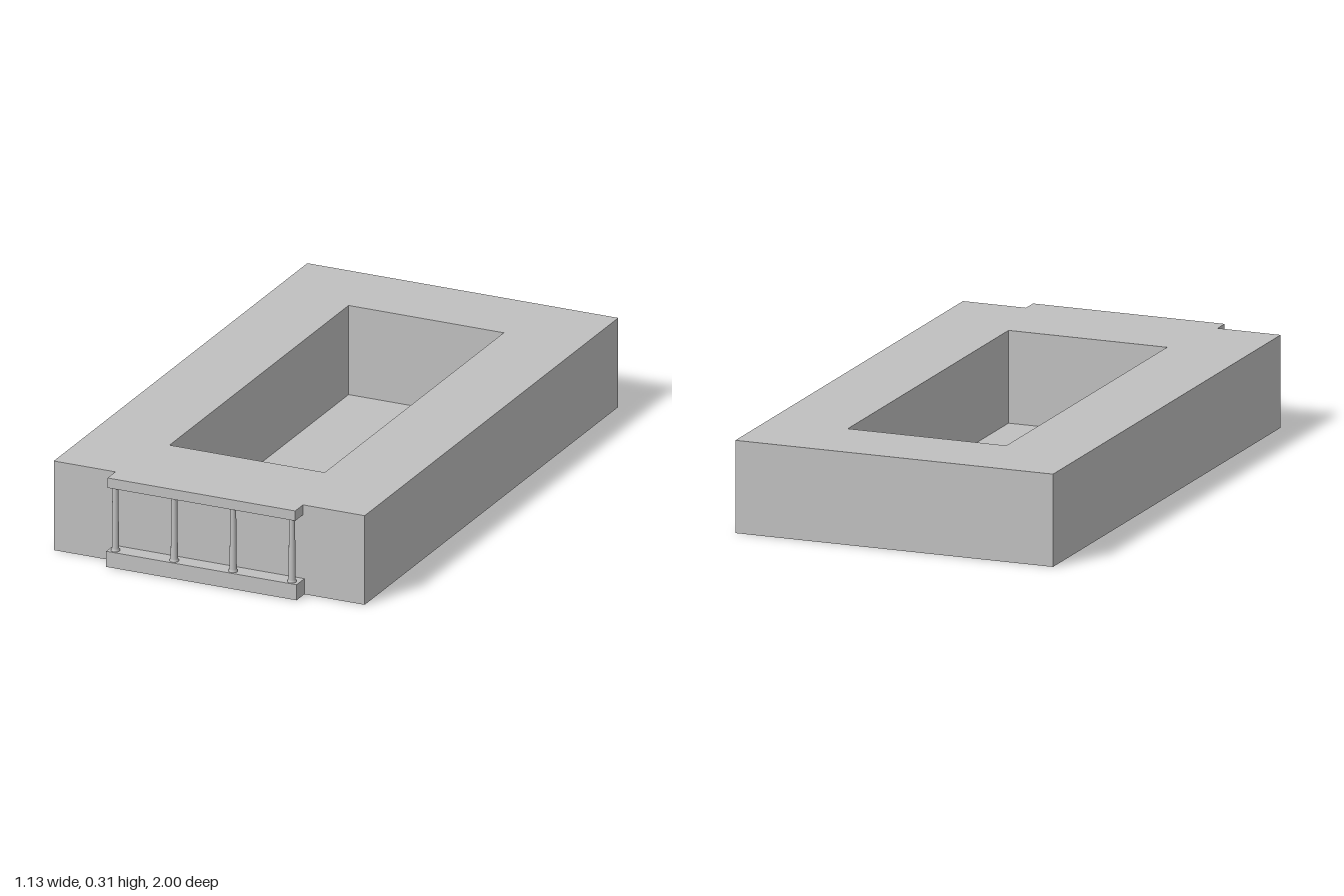
import * as THREE from 'three';

export function createModel() {
  const group = new THREE.Group();
  const stone = new THREE.MeshStandardMaterial({ color: 0xc0c0c0, side: THREE.DoubleSide });
  stone.name = 'light grey stone';

  function add(name, geometry, x = 0, y = 0, z = 0) {
    const mesh = new THREE.Mesh(geometry, stone);
    mesh.name = name;
    mesh.position.set(x, y, z);
    group.add(mesh);
    return mesh;
  }

  // Thin upright wall from plan point a to b, facing the right of the walk a -> b
  function wall(name, [ax, az], [bx, bz], y0, y1) {
    const dx = bx - ax, dz = bz - az;
    const mesh = add(name, new THREE.PlaneGeometry(Math.hypot(dx, dz), y1 - y0),
      (ax + bx) / 2, (y0 + y1) / 2, (az + bz) / 2);
    mesh.rotation.y = -Math.atan2(dz, dx);
  }

  // Level rectangle facing up
  function deck(name, w, d, x, y, z) {
    add(name, new THREE.PlaneGeometry(w, d).rotateX(-Math.PI / 2), x, y, z);
  }

  const W = 0.565, H = 0.315, back = -1, front = 0.94;
  const cw = 0.282, cBack = -0.72, cFront = 0.65;

  // Outer walls, open underneath
  const outer = [[-W, front], [W, front], [W, back], [-W, back]];
  const names = ['frontWall', 'leftWall', 'backWall', 'rightWall'];
  outer.forEach((p, i) => wall(names[i], p, outer[(i + 1) % 4], 0, H));

  // Cross walls run the full width, side walls close the courtyard
  wall('courtyardBackWall', [-W, cBack], [W, cBack], 0, H);
  wall('courtyardFrontWall', [W, cFront], [-W, cFront], 0, H);
  wall('courtyardLeftWall', [cw, cBack], [cw, cFront], 0, H);
  wall('courtyardRightWall', [-cw, cFront], [-cw, cBack], 0, H);
  deck('courtyardFloor', cw * 2, cFront - cBack, 0, 0, (cBack + cFront) / 2);

  // Flat roof with the courtyard opening
  const roof = new THREE.Shape(outer.map(([x, z]) => new THREE.Vector2(x, -z)));
  roof.holes.push(new THREE.Path([[-cw, cFront], [-cw, cBack], [cw, cBack], [cw, cFront]]
    .map(([x, z]) => new THREE.Vector2(x, -z))));
  add('roof', new THREE.ShapeGeometry(roof).rotateX(-Math.PI / 2), 0, H, 0);

  // Porch step, open underneath
  const pw = 0.346, stepH = 0.055;
  wall('stepFront', [-pw, 1], [pw, 1], 0, stepH);
  wall('stepLeftEnd', [pw, 1], [pw, front], 0, stepH);
  wall('stepRightEnd', [-pw, front], [-pw, 1], 0, stepH);
  deck('stepTop', pw * 2, 1 - front, 0, stepH, (1 + front) / 2);

  // Porch canopy
  const canopyY = 0.28;
  add('porchCanopy', new THREE.BoxGeometry(0.682, H - canopyY, 1 - front),
    0, (H + canopyY) / 2, (1 + front) / 2);

  // Slender tapering columns with flared bases
  const profile = [[0.015, stepH], [0.015, 0.06], [0.012, 0.064], [0.0098, canopyY]]
    .map(([r, y]) => new THREE.Vector2(r, y));
  for (const x of [-0.322, -0.108, 0.106, 0.32]) {
    add('porchColumn', new THREE.LatheGeometry(profile, 16), x, 0, 0.98);
  }
  return group;
}
